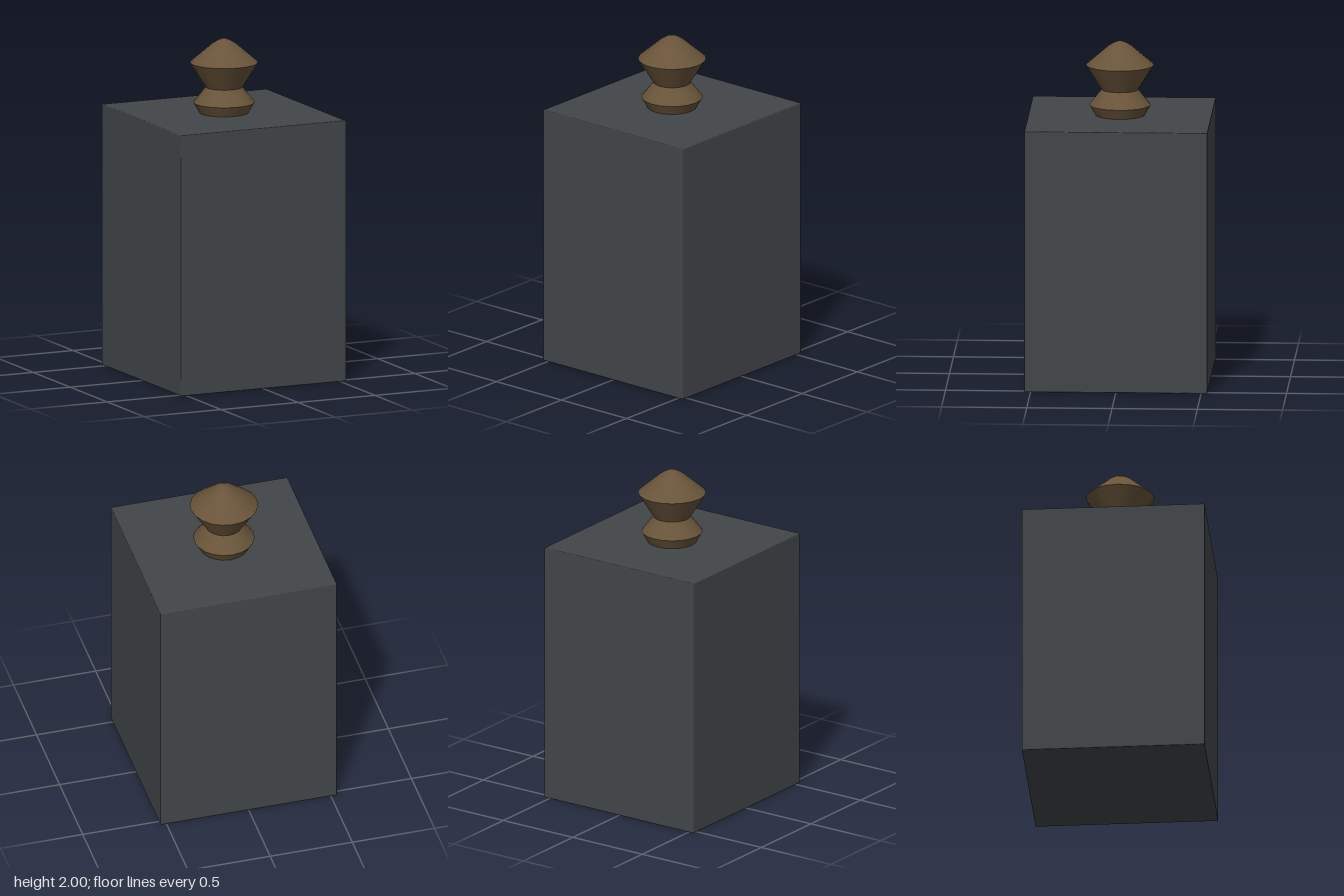
import * as THREE from 'three';
import { RoundedBoxGeometry } from 'three/addons/geometries/RoundedBoxGeometry.js';
import { toCreasedNormals } from 'three/addons/utils/BufferGeometryUtils.js';

const WIDTH = 1.074;
const HEIGHT = 1.556;

export function createModel() {
  const model = new THREE.Group();
  model.name = 'knobbedBlock';

  // Tall square block with a very fine edge bevel
  const block = new THREE.Mesh(
    new RoundedBoxGeometry(WIDTH, HEIGHT, WIDTH, 1, 0.006),
    new THREE.MeshStandardMaterial({ color: 0x424649 })
  );
  block.name = 'block';
  block.position.y = HEIGHT / 2;
  model.add(block);

  // Turned wooden knob: foot, waist, flared head and rounded tip
  const profile = [
    [0, HEIGHT], [0.145, HEIGHT], [0.18, 1.617], [0.108, 1.708],
    [0.2, 1.855], [0.07, 1.967], [0.035, 1.988], [0, 2],
  ].map(([r, y]) => new THREE.Vector2(r, y));
  const knob = new THREE.Mesh(
    toCreasedNormals(new THREE.LatheGeometry(profile, 20), 0.5),
    new THREE.MeshStandardMaterial({ color: 0x69543a })
  );
  knob.name = 'knob';
  model.add(knob);

  return model;
}
